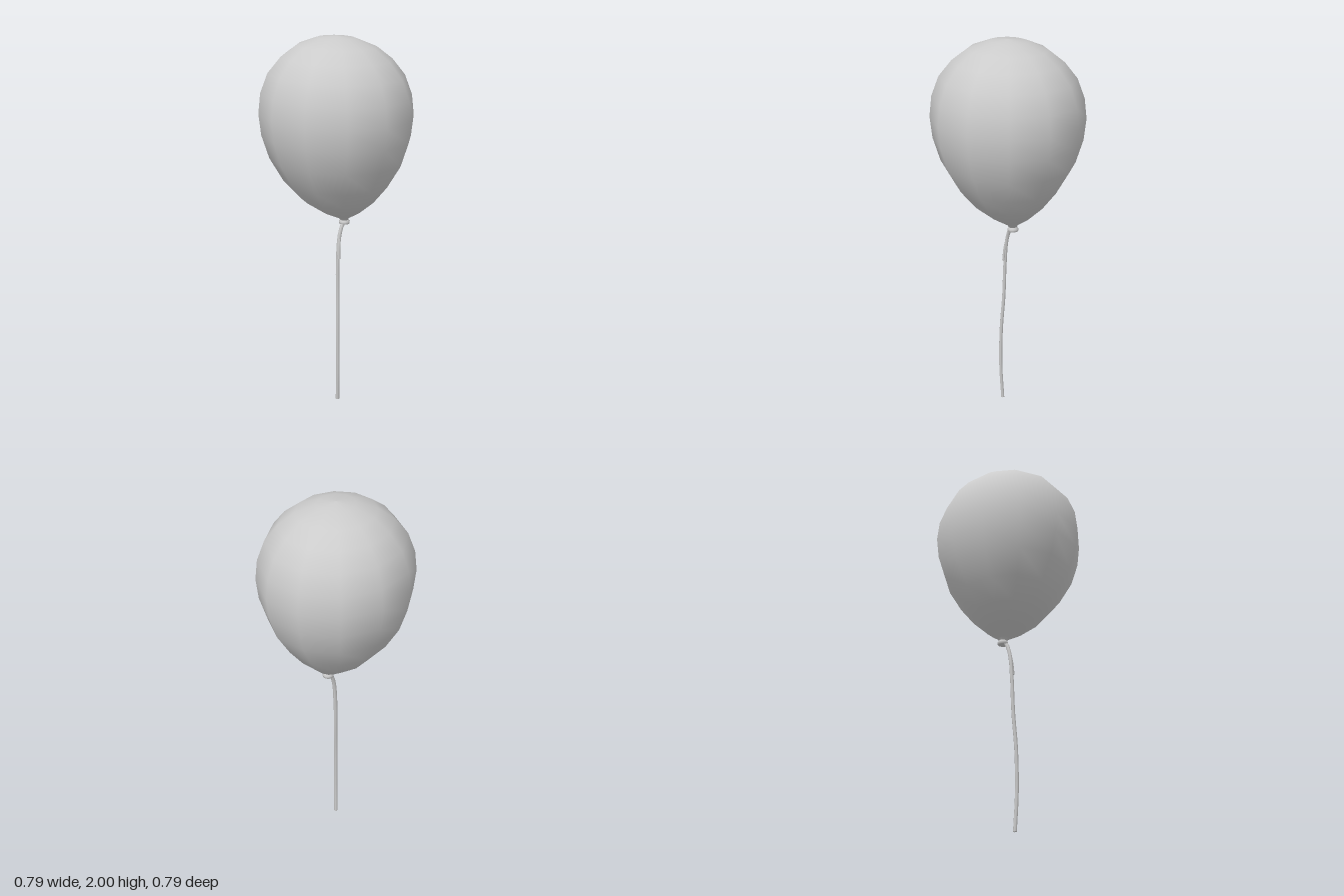
import * as THREE from 'three';

const material = new THREE.MeshStandardMaterial({ color: 0xcccccc, side: THREE.DoubleSide });

function addPart(group, name, geometry) {
  const mesh = new THREE.Mesh(geometry, material);
  mesh.name = name;
  group.add(mesh);
  return mesh;
}

// Twelve-sided surface of revolution from [radius, height] pairs, bottom to top
function lathe(profile) {
  return new THREE.LatheGeometry(profile.map(([r, y]) => new THREE.Vector2(r, y)), 12);
}

// Thin cord through a few points, with closed ends
function addCord(group, name, points, radius, segments) {
  const path = new THREE.CatmullRomCurve3(points.map((p) => new THREE.Vector3(...p)));
  const cord = new THREE.Group();
  cord.name = name;
  addPart(cord, name + 'Length', new THREE.TubeGeometry(path, segments, radius, 6));
  [0, 1].forEach((t) => {
    const end = addPart(cord, name + 'End', new THREE.CircleGeometry(radius, 6));
    end.position.copy(path.getPointAt(t));
    end.lookAt(end.position.clone().addScaledVector(path.getTangentAt(t), t ? 1 : -1));
  });
  group.add(cord);
}

export function createModel() {
  const model = new THREE.Group();
  model.name = 'balloonOnString';

  // Balloon skin: teardrop, tilted slightly, its neck drawn toward the back
  const skin = lathe([
    [0.02, 1.03], [0.03, 1.045], [0.1, 1.085], [0.195, 1.16], [0.275, 1.255], [0.345, 1.375],
    [0.383, 1.495], [0.395, 1.605], [0.383, 1.71], [0.345, 1.81], [0.28, 1.89],
    [0.2, 1.95], [0.095, 1.99], [0, 2],
  ]);
  const pos = skin.attributes.position;
  for (let i = 0; i < pos.count; i++) {
    const y = pos.getY(i);
    const z = pos.getZ(i);
    const pull = Math.max(0, (1.25 - y) / 0.22);
    pos.setY(i, Math.min(2, y + z * 0.04));
    pos.setZ(i, z - 0.05 * pull * pull);
  }
  addPart(model, 'balloon', skin);

  // Knot: narrow neck with a rolled lip
  const knot = addPart(model, 'knot', lathe([
    [0, 1.02], [0.017, 1.018], [0.022, 1.01], [0.028, 1.012],
    [0.029, 1.024], [0.023, 1.03], [0.019, 1.04],
  ]));
  knot.position.z = -0.05;

  // Long wavy string and the short loose end beside it
  addCord(model, 'string', [
    [0.008, 1.025, -0.04], [0.01, 0.99, -0.02], [0.013, 0.93, -0.004], [0.016, 0.8, 0.006],
    [0.021, 0.62, 0.01], [0.032, 0.42, 0.019], [0.035, 0.2, 0.02], [0.026, 0, 0.015],
  ], 0.01, 28);
  addCord(model, 'looseEnd', [
    [0.006, 1.02, -0.035], [0.013, 0.96, -0.012], [0.021, 0.9, 0], [0.026, 0.83, 0.005],
  ], 0.007, 8);

  return model;
}
